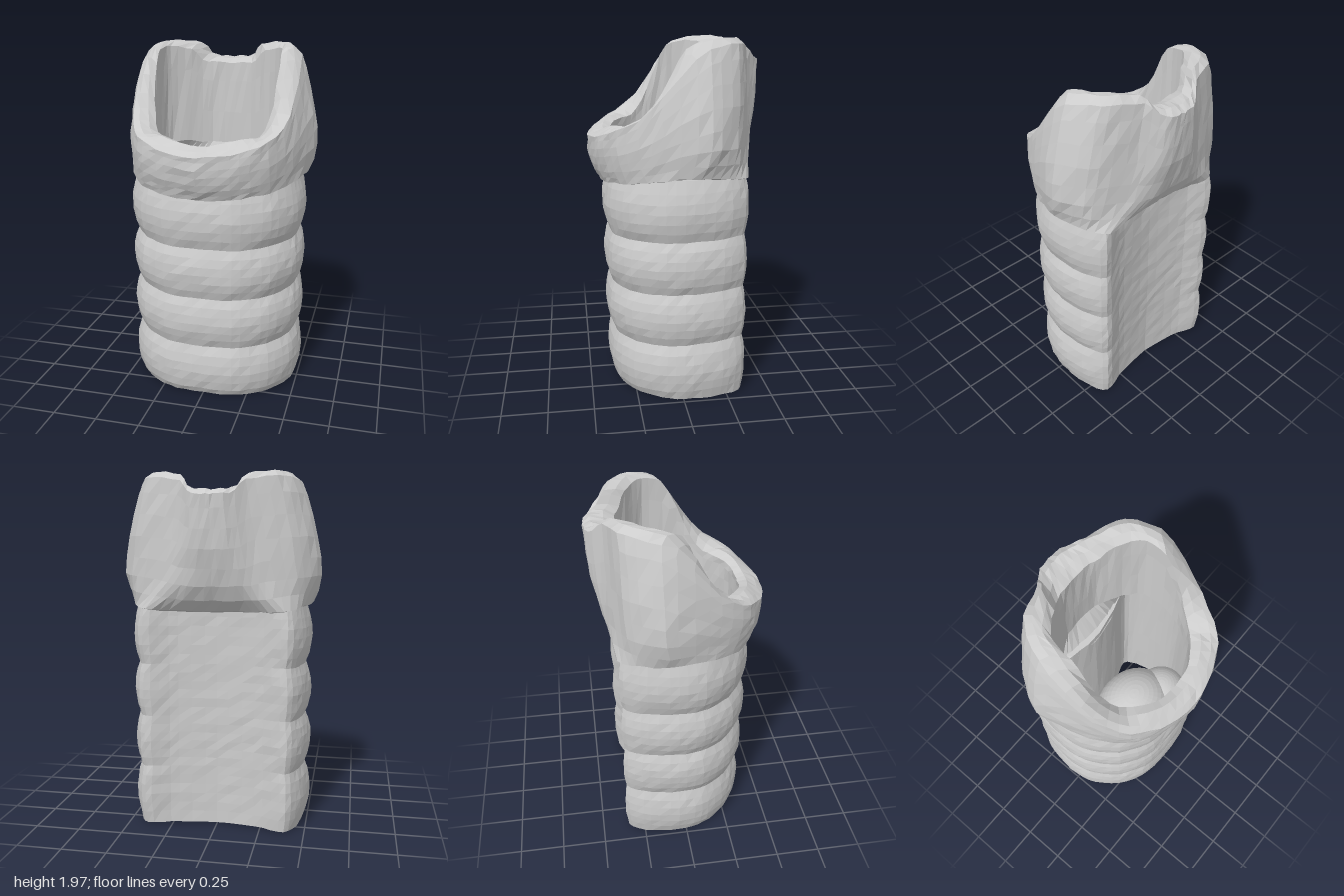
import * as THREE from 'three';

const COLS = 56;
const material = new THREE.MeshStandardMaterial({ color: 0xcccccc, flatShading: true, side: THREE.DoubleSide });

// Closed outline from a half list of [x, z] running front centre -> left side -> back centre
function outline(half) {
  const mirrored = half.slice(1, -1).reverse().map(([x, z]) => [-x, z]);
  const pts = [...half, ...mirrored].map(([x, z]) => new THREE.Vector3(x, 0, z));
  const curve = new THREE.CatmullRomCurve3(pts, true, 'catmullrom', 0.4);
  return Array.from({ length: COLS }, (_, j) => curve.getPoint(j / COLS));
}

// Small repeatable unevenness
const wobble = (i, j, k) => {
  const s = Math.sin(i * 12.99 + j * 78.23 + k * 37.7) * 43758.55;
  return s - Math.floor(s) - 0.5;
};

// Skin over closed rows; the last row joins the first
function loft(name, rows, rough) {
  const pos = [], index = [], n = rows.length;
  rows.forEach((row, i) => row.forEach((p, j) => pos.push(
    p.x + rough * wobble(i, j, 1), p.y + rough * wobble(i, j, 2), p.z + rough * wobble(i, j, 3))));
  for (let i = 0; i < n; i++) for (let j = 0; j < COLS; j++) {
    const k = (j + 1) % COLS, m = (i + 1) % n;
    const a = i * COLS + j, b = i * COLS + k, c = m * COLS + k, d = m * COLS + j;
    index.push(a, b, c, a, c, d);
  }
  const g = new THREE.BufferGeometry();
  g.setAttribute('position', new THREE.Float32BufferAttribute(pos, 3));
  g.setIndex(index);
  g.computeVertexNormals();
  const mesh = new THREE.Mesh(g, material);
  mesh.name = name;
  return mesh;
}

// Piecewise linear lookup in ascending [key, value] pairs
function lookup(table, v) {
  if (v <= table[0][0]) return table[0][1];
  for (let i = 1; i < table.length; i++) {
    const [a, p] = table[i - 1], [b, q] = table[i];
    if (v <= b) return p + (q - p) * (v - a) / (b - a);
  }
  return table[table.length - 1][1];
}

// Cross-sections: ring crest, groove between rings, tube bore, collar outside, collar bore
const crest = outline([[0, .40], [.2, .38], [.37, .28], [.48, .12], [.51, -.05], [.48, -.24], [.4, -.36], [.24, -.3], [0, -.27]]);
const groove = outline([[0, .365], [.19, .35], [.35, .25], [.45, .1], [.475, -.05], [.455, -.23], [.39, -.345], [.24, -.3], [0, -.27]]);
const bore = outline([[0, .33], [.17, .315], [.32, .225], [.41, .09], [.435, -.05], [.41, -.2], [.35, -.28], [.18, -.235], [0, -.21]]);
const collarOut = outline([[0, .48], [.2, .44], [.36, .34], [.47, .14], [.56, -.13], [.45, -.31], [.22, -.385], [.1, -.465], [0, -.48]]);
const collarIn = outline([[0, .345], [.14, .325], [.26, .235], [.33, .12], [.35, -.02], [.33, -.15], [.22, -.24], [.12, -.3], [0, -.31]]);

// Ringed tube with a flat, slightly hollow back, a little narrower in front towards the bottom
function makeTube() {
  const bands = [.015, .34, .635, .93, 1.25];
  const taper = [[0, .93], [.2, .965], [.5, .985], [1.1, 1.01]];
  const rows = [];
  for (let b = 0; b < 4; b++) for (let s = 0; s < 6; s++) {
    const t = s / 6, y = bands[b] + (bands[b + 1] - bands[b]) * t;
    const bulge = Math.pow(Math.sin(Math.PI * t), .8);
    const tilt = b + s > 0 ? -.045 : 0;
    rows.push(groove.map((p, j) => {
      const q = p.clone().lerp(crest[j], bulge).setY(y + tilt * p.z);
      if (q.z > 0) q.z *= lookup(taper, y);
      return q;
    }));
  }
  rows.push(groove.map((p) => p.clone().setY(1.27)));
  for (const [y, thin] of [[1.27, 0], [.95, .1], [.6, .15], [.3, .2], [.015, .3]])
    rows.push(bore.map((p, j) => p.clone().lerp(groove[j], p.z > .1 ? thin * .4 : thin).setY(y)));
  return loft('ringedTube', rows, .005);
}

// Flared collar: low in front, rising to a tall back plate with a notch
function makeCollar() {
  const heights = [[-.48, 1.89], [-.44, 1.9], [-.39, 1.97], [-.33, 1.99], [-.22, 1.985], [-.12, 1.96], [0, 1.85],
    [.1, 1.73], [.2, 1.61], [.3, 1.55], [.4, 1.5], [.48, 1.46]];
  const sideScale = [[1.45, 1], [1.6, .97], [1.8, .88], [1.92, .81], [2, .72]];
  const lipOffset = [[-.1, -.02], [.1, -.035], [.3, -.02], [.42, .03]];
  // how far the surface has swollen from the tube to full size, by height above the foot
  const frontFlare = [[0, .35], [.08, .78], [.17, 1]];
  const backFlare = [[0, .15], [.1, .6], [.35, .93], [.6, 1]];
  const top = collarOut.map((p) => lookup(heights, p.z));
  const foot = collarOut.map((p) => lookup([[-.4, 1.23], [0, 1.24], [.48, 1.19]], p.z) + .06 * Math.abs(p.x));
  const outer = (f) => collarOut.map((p, j) => {
    const rise = (top[j] - foot[j] - .01) * f, y = foot[j] + .01 + rise;
    const back = lookup([[-.35, 1], [-.15, 0]], p.z);
    const flare = lookup(frontFlare, rise) * (1 - back) + lookup(backFlare, rise) * back;
    const q = groove[j].clone().multiplyScalar(1.04).lerp(p, flare);
    return q.set(q.x * lookup(sideScale, y), y, q.z);
  });
  const inner = (f) => collarIn.map((p, j) =>
    new THREE.Vector3(p.x, 1.25 + (top[j] + lookup(lipOffset, collarOut[j].z) - 1.25) * f, p.z));
  const rows = [groove.map((p, j) => new THREE.Vector3(p.x * .97, foot[j], p.z * .97))];
  for (const f of [0, .1, .22, .36, .52, .68, .84, .95]) rows.push(outer(f));
  // rounded rim
  const edge = outer(1), lip = inner(1);
  rows.push(edge.map((p, j) => p.clone().lerp(lip[j], .25)));
  rows.push(edge.map((p, j) => p.clone().lerp(lip[j], .65).setY(Math.max(p.y - .01, lip[j].y))));
  rows.push(lip.map((p) => p.clone().setY(p.y - .015)));
  for (const f of [.8, .5, .2]) rows.push(inner(f));
  rows.push(bore.map((p) => p.clone().setY(1.22)));
  return loft('collar', rows, .008);
}

// Rounded growth inside the tube
function makeGrowth(name, position, scale) {
  const mesh = new THREE.Mesh(new THREE.SphereGeometry(1, 32, 24), material);
  mesh.name = name;
  mesh.position.set(...position);
  mesh.scale.set(...scale);
  return mesh;
}

export function createModel() {
  const group = new THREE.Group();
  group.name = 'ringedAirway';
  group.add(
    makeTube(),
    makeCollar(),
    makeGrowth('largeGrowth', [-.09, .95, .15], [.24, .23, .205]),
    makeGrowth('smallGrowth', [.08, .96, .215], [.15, .15, .145])
  );
  return group;
}
